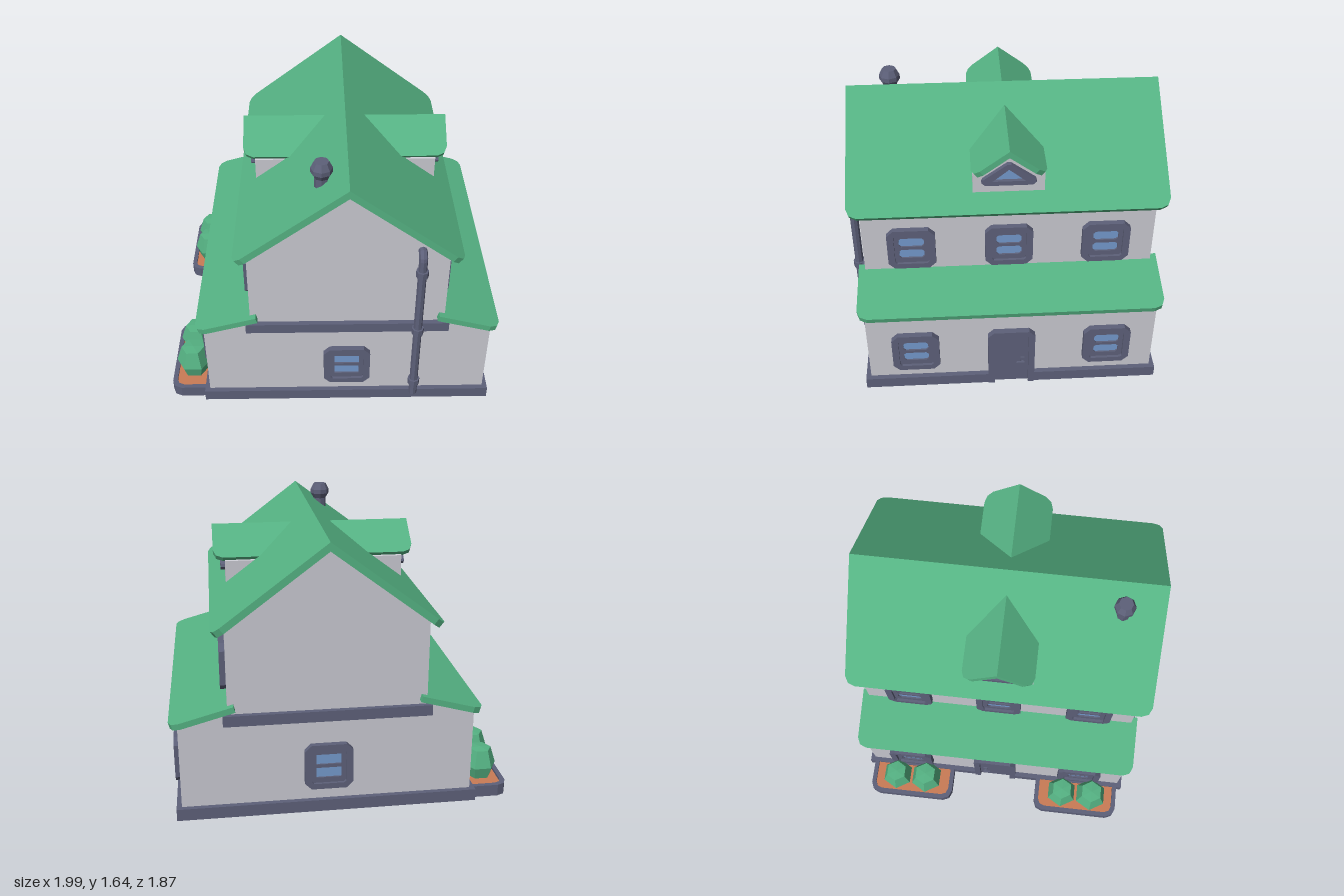
import * as THREE from 'three';

const mat = (name, color) => {
  const m = new THREE.MeshStandardMaterial({ color });
  m.name = name;
  return m;
};

export function createModel() {
  const wall = mat('wall grey', 0xc8c8d0), green = mat('green', 0x55b283);
  const trim = mat('slate trim', 0x5d6079), glass = mat('window blue', 0x7499cc);
  const soilMat = mat('soil', 0xc97b55);

  const house = new THREE.Group();
  house.name = 'house';

  const add = (parent, name, geo, material, x = 0, y = 0, z = 0) => {
    const m = new THREE.Mesh(geo, material);
    m.name = name;
    m.position.set(x, y, z);
    parent.add(m);
    return m;
  };
  const flat = (geo) => {
    const g = geo.toNonIndexed();
    g.computeVertexNormals();
    return g;
  };
  const poly = (pts) => new THREE.Shape(pts.map((p) => new THREE.Vector2(...p)));
  const extrude = (shape, depth) => new THREE.ExtrudeGeometry(shape, { depth, bevelEnabled: false });
  // plan shape (x, z) raised upward from y = 0
  const raise = (shape, h) => extrude(shape, h).rotateX(Math.PI / 2).translate(0, h, 0);
  // rectangle with cut corners
  const cutRect = (w, h, c, cx = 0, cy = 0) => {
    const a = w / 2, b = h / 2;
    return poly([[a - c, -b], [a, c - b], [a, b - c], [a - c, b], [c - a, b], [-a, b - c], [-a, c - b], [c - a, -b]]
      .map(([x, y]) => [x + cx, y + cy]));
  };
  // roof panel falling toward +x from its top edge at the origin, outer corners rounded
  const slab = (len, w, t, angle, c = 0.06) => extrude(poly([
    [0, -w], [len - c, -w], [len - 0.3 * c, -w + 0.3 * c], [len, c - w],
    [len, w - c], [len - 0.3 * c, w - 0.3 * c], [len - c, w], [0, w],
  ]), t).rotateX(Math.PI / 2).rotateZ(-angle);

  // Walls: lower storey, upper storey and gable in one profile
  const half = [[0.85, 0.01], [0.85, 0.592], [0.57, 0.668], [0.57, 1.16]];
  const profile = [...half, [0, 1.59], ...half.map(([x, y]) => [-x, y]).reverse()];
  add(house, 'walls', extrude(poly(profile), 1.71), wall, 0, 0, -0.855);

  // Plinth with a notch at each door
  add(house, 'plinth', raise(poly([
    [-0.88, -0.885], [0.88, -0.885], [0.88, -0.102], [0.852, -0.102], [0.852, 0.102], [0.88, 0.102], [0.88, 0.885],
    [-0.88, 0.885], [-0.88, 0.102], [-0.852, 0.102], [-0.852, -0.102], [-0.88, -0.102],
  ]), 0.072), trim);
  add(house, 'storeyBand', new THREE.BoxGeometry(1.194, 0.064, 1.77), trim, 0, 0.607, 0);

  // Windows face +z before placing
  const makeWindow = (corner) => {
    const g = new THREE.Group();
    g.name = 'window';
    const frame = cutRect(0.28, 0.28, 0.038);
    frame.holes.push(cutRect(0.2, 0.212, 0.012));
    add(g, 'windowFrame', extrude(frame, 0.034), trim);
    const sash = cutRect(0.21, 0.22, 0.001);
    for (const y of [-0.042, 0.042]) sash.holes.push(cutRect(0.148, 0.063, corner, 0, y));
    add(g, 'windowSash', extrude(sash, 0.018), trim);
    add(g, 'windowGlass', new THREE.BoxGeometry(0.19, 0.19, 0.008), glass, 0, 0, 0.004);
    return g;
  };
  const place = (g, x, y, z, turn) => {
    g.position.set(x, y, z);
    g.rotation.y = turn;
    house.add(g);
  };

  // Door with raised surround and handle
  const makeDoor = (s) => {
    const g = new THREE.Group();
    g.name = 'door';
    add(g, 'doorFrame', extrude(poly([
      [0.102, 0], [0.14, 0], [0.14, 0.395], [0.105, 0.43], [-0.105, 0.43], [-0.14, 0.395],
      [-0.14, 0], [-0.102, 0], [-0.102, 0.39], [0.102, 0.39],
    ]), 0.036), trim);
    add(g, 'doorPanel', new THREE.BoxGeometry(0.206, 0.392, 0.014), trim, 0, 0.196, 0.007);
    add(g, 'handlePlate', new THREE.BoxGeometry(0.025, 0.065, 0.01), trim, 0.067 * s, 0.168, 0.018);
    add(g, 'handleStem', new THREE.BoxGeometry(0.014, 0.018, 0.03), trim, 0.067 * s, 0.17, 0.026);
    add(g, 'handleLever', new THREE.BoxGeometry(0.05, 0.018, 0.012), trim, 0.054 * s, 0.17, 0.038);
    return g;
  };

  const ROOF = Math.atan(0.752), LOW = Math.atan(0.274), DORMER = Math.atan(0.755);
  for (const s of [1, -1]) {
    const turn = s > 0 ? 0 : Math.PI, face = s * Math.PI / 2;
    // Main and lower roof panels
    add(house, 'mainRoof', slab(0.645 / Math.cos(ROOF), 0.922, 0.04, ROOF).rotateY(turn), green, 0, 1.62, 0);
    add(house, 'lowerRoof', slab(0.365 / Math.cos(LOW), 0.894, 0.036, LOW).rotateY(turn), green, s * 0.535, 0.7, 0);

    // Dormer
    const dormer = new THREE.Group();
    dormer.name = 'dormer';
    dormer.rotation.y = face;
    house.add(dormer);
    add(dormer, 'dormerWall', extrude(poly([
      [-0.205, 1.19], [0.205, 1.19], [0.205, 1.345], [0, 1.498], [-0.205, 1.345],
    ]), 0.34), wall, 0, 0, 0.2);
    for (const t of [0, Math.PI]) {
      add(dormer, 'dormerRoof', slab(0.213 / Math.cos(DORMER), 0.25, 0.033, DORMER).rotateY(t), green, 0, 1.53, 0.36);
    }
    const tri = poly([[-0.135, 1.275], [0.135, 1.275], [0.156, 1.295], [0.15, 1.312], [0.012, 1.414],
      [-0.012, 1.414], [-0.15, 1.312], [-0.156, 1.295]]);
    tri.holes.push(poly([[-0.094, 1.303], [0.094, 1.303], [0, 1.382]]));
    add(dormer, 'dormerWindowFrame', extrude(tri, 0.03), trim, 0, 0, 0.538);
    add(dormer, 'dormerGlass', extrude(poly([[-0.11, 1.295], [0.11, 1.295], [0, 1.39]]), 0.008), glass, 0, 0, 0.538);

    // Openings on the long side and the gable end
    for (const z of [-0.57, 0, 0.57]) {
      place(makeWindow(0.014), s * 0.57, 0.857, z, face);
      if (z) place(makeWindow(0.014), s * 0.85, 0.288, z, face);
    }
    place(makeDoor(s), s * 0.85, 0, 0, face);
    place(makeWindow(0.001), 0, 0.288, s * 0.855, turn);

    // Planter bed with two bushes
    const bed = new THREE.Group();
    bed.name = 'planter';
    bed.position.z = s * 0.57;
    house.add(bed);
    const outline = (x, w, c) => [[-0.87, -w], [-0.87, w], [x + c, w], [x + 0.3 * c, w - 0.3 * c], [x, w - c],
      [x, c - w], [x + 0.3 * c, 0.3 * c - w], [x + c, -w]];
    const rim = poly(outline(-1.09, 0.282, 0.06));
    rim.holes.push(poly(outline(-1.062, 0.254, 0.045).map(([x, z]) => [Math.min(x, -0.878), z])));
    add(bed, 'planterRim', raise(rim, 0.072), trim);
    add(bed, 'planterSoil', raise(poly(outline(-1.066, 0.258, 0.045)), 0.058), soilMat);
    for (const [z, k] of [[-0.1, 0.95], [0.1, 1]]) {
      const bush = new THREE.LatheGeometry([[0, 0.04], [0.078, 0.05], [0.108, 0.14], [0.072, 0.25], [0, 0.256]]
        .map((p) => new THREE.Vector2(...p)), 6).rotateY(Math.PI / 6).scale(k, k, k);
      add(bed, 'bush', flat(bush), green, -0.962, 0, z);
    }
  }

  // Chimney pipe
  add(house, 'chimney', flat(new THREE.LatheGeometry([[0.042, 1.35], [0.042, 1.545], [0.062, 1.578],
    [0.062, 1.605], [0.042, 1.645], [0, 1.645]].map((p) => new THREE.Vector2(...p)), 8)), trim, -0.145, 0, 0.677);

  // Drainpipe with collars and an elbow into the wall
  const drain = new THREE.Group();
  drain.name = 'drainpipe';
  drain.position.set(0.41, 0, 0.907);
  house.add(drain);
  add(drain, 'pipe', flat(new THREE.CylinderGeometry(0.025, 0.025, 1.065, 8)), trim, 0, 0.6075, 0);
  const bend = new THREE.QuadraticBezierCurve3(new THREE.Vector3(0, 1.135, 0),
    new THREE.Vector3(0, 1.172, 0), new THREE.Vector3(0, 1.17, -0.06));
  add(drain, 'pipeElbow', flat(new THREE.TubeGeometry(bend, 5, 0.025, 8)), trim);
  for (const y of [0.18, 0.607, 1.045]) {
    add(drain, 'pipeCollar', flat(new THREE.CylinderGeometry(0.036, 0.036, 0.042, 8)), trim, 0, y, 0);
  }

  house.position.set(0.09, 0, -0.005);
  const model = new THREE.Group();
  model.name = 'model';
  model.add(house);
  return model;
}
